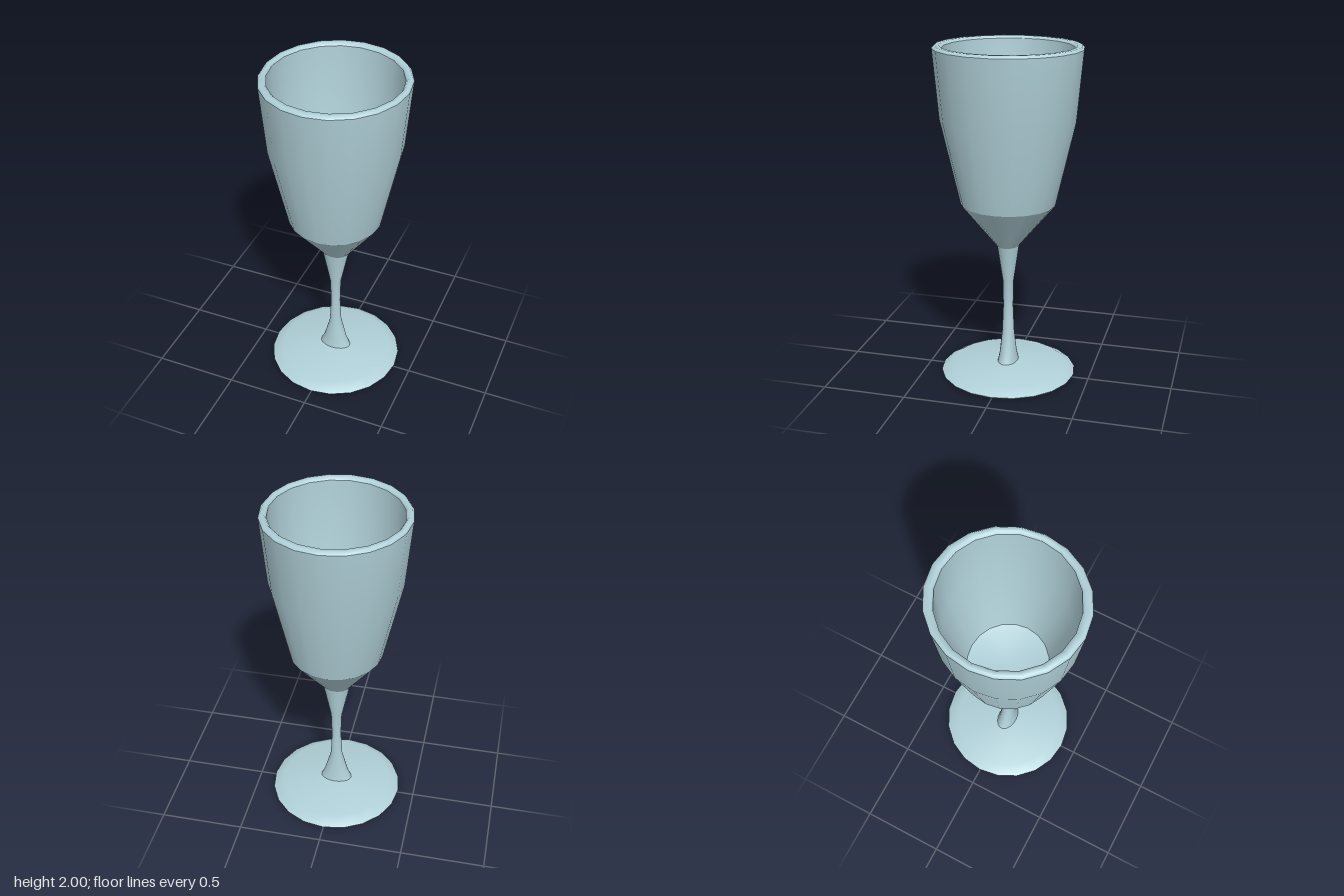
import * as THREE from 'three';
import { mergeVertices } from 'three/addons/utils/BufferGeometryUtils.js';

const SIDES = 20;
const glass = new THREE.MeshStandardMaterial({ color: 0xb0d0d8 });

// Smooth skin through elliptical rings [y, radiusX, radiusZ].
// Rings run upward for outward faces, downward for inward faces.
function skin(rings) {
  const positions = [];
  const index = [];
  for (const [y, rx, rz] of rings) {
    for (let j = 0; j < SIDES; j++) {
      const a = (j / SIDES) * Math.PI * 2;
      positions.push(rx * Math.sin(a), y, rz * Math.cos(a));
    }
  }
  for (let i = 0; i < rings.length - 1; i++) {
    for (let j = 0; j < SIDES; j++) {
      const k = (j + 1) % SIDES;
      const a = i * SIDES + j, b = i * SIDES + k;
      index.push(a, b, b + SIDES, a, b + SIDES, a + SIDES);
    }
  }
  let geometry = new THREE.BufferGeometry();
  geometry.setAttribute('position', new THREE.Float32BufferAttribute(positions, 3));
  geometry.setIndex(index);
  geometry = mergeVertices(geometry, 1e-5);
  geometry.computeVertexNormals();
  return geometry;
}

export function createModel() {
  const goblet = new THREE.Group();
  goblet.name = 'goblet';
  const add = (name, rings) => {
    const mesh = new THREE.Mesh(skin(rings), glass);
    mesh.name = name;
    goblet.add(mesh);
  };

  // Foot: slightly domed underside, thin edge, bevel and shallow top
  add('footUnderside', [[0, 0, 0], [0, 0.14, 0.14], [0.007, 0.395, 0.4]]);
  add('footEdge', [[0.007, 0.395, 0.4], [0.016, 0.402, 0.408]]);
  add('footTop', [[0.016, 0.402, 0.408], [0.055, 0.335, 0.342], [0.075, 0.097, 0.06]]);

  // Stem: flared at both ends, wider across x
  add('stem', [
    [0.075, 0.097, 0.06],
    [0.13, 0.073, 0.05],
    [0.27, 0.036, 0.036],
    [0.43, 0.028, 0.03],
    [0.59, 0.033, 0.032],
    [0.82, 0.081, 0.065],
  ]);

  // Bowl: cone base, tapering wall, rounded rim and hollow inside
  add('bowlBase', [[0.82, 0.081, 0.065], [1.08, 0.273, 0.28]]);
  add('bowlWall', [[1.08, 0.273, 0.28], [1.58, 0.38, 0.394], [1.985, 0.414, 0.43]]);
  add('rim', [
    [1.985, 0.414, 0.43],
    [2, 0.402, 0.417],
    [2, 0.382, 0.39],
    [1.985, 0.371, 0.375],
  ]);
  add('bowlInside', [[1.985, 0.371, 0.375], [1.58, 0.355, 0.36], [1.1, 0.247, 0.237]]);
  add('bowlFloor', [[1.1, 0.247, 0.237], [1.03, 0, 0]]);

  return goblet;
}
